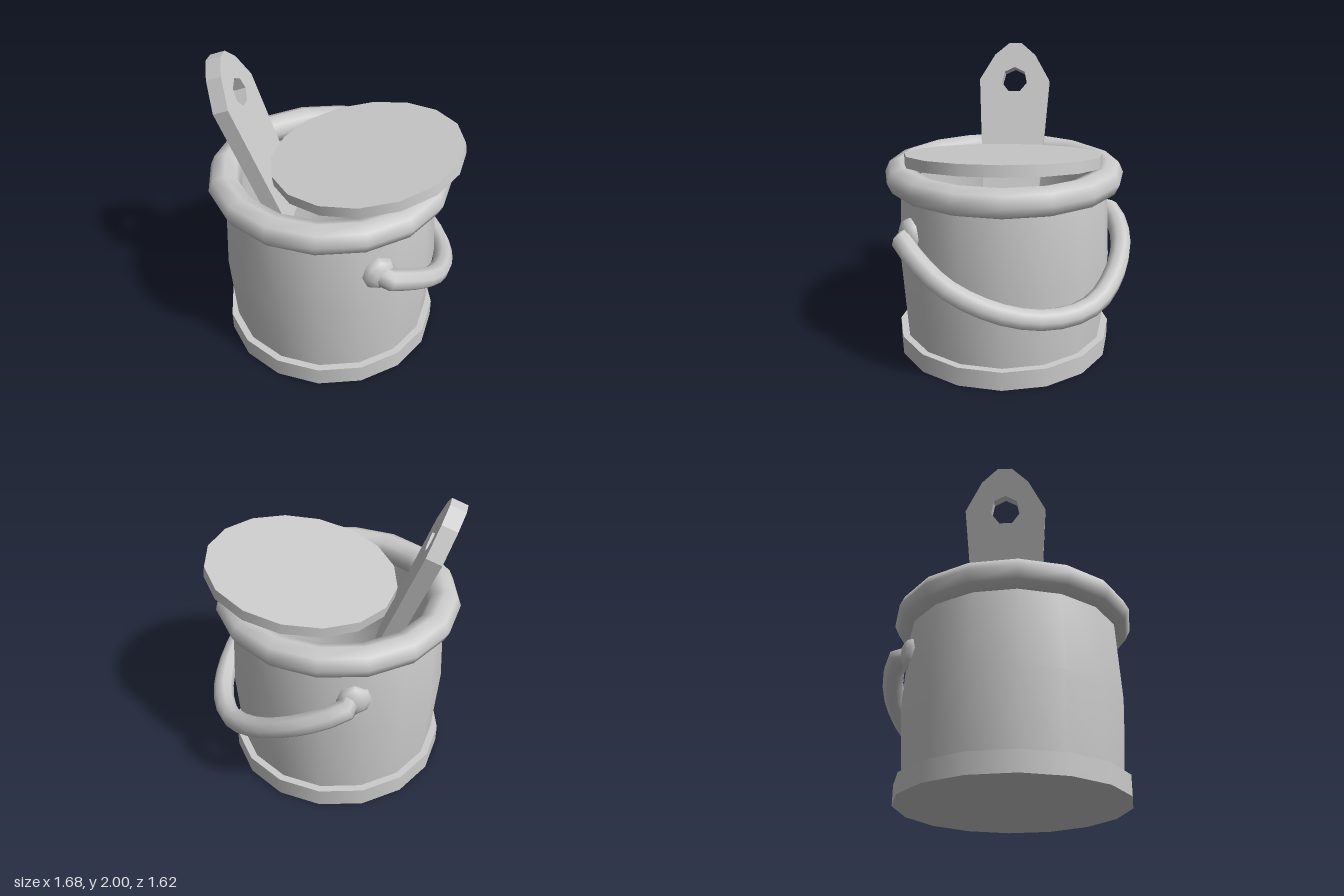
import * as THREE from 'three';

const SIDES = 16;
const TURN = -0.546; // yaw shared by the bucket and its lid

export function createModel() {
  const model = new THREE.Group();
  model.name = 'bucket';
  const material = new THREE.MeshStandardMaterial({ color: 0xcccccc });
  const wallMaterial = new THREE.MeshStandardMaterial({ color: 0xcccccc, side: THREE.DoubleSide });

  function add(parent, name, geometry, mat = material) {
    const mesh = new THREE.Mesh(geometry, mat);
    mesh.name = name;
    parent.add(mesh);
    return mesh;
  }

  // Bucket shell: base, bulging wall with thickness, and rolled rim
  const shell = new THREE.Group();
  shell.name = 'shell';
  shell.position.set(-0.05, 0, -0.025);
  shell.rotation.y = TURN;
  model.add(shell);

  add(shell, 'base', new THREE.CylinderGeometry(0.738, 0.738, 0.13, SIDES)).position.y = 0.065;

  const wall = [
    [0.69, 0.12], [0.722, 0.63], [0.69, 1.2],
    [0.65, 1.2], [0.69, 0.63], [0.65, 0.12],
  ].map(([r, y]) => new THREE.Vector2(r, y));
  add(shell, 'wall', new THREE.LatheGeometry(wall, SIDES), wallMaterial);

  const rim = new THREE.TorusGeometry(0.69, 0.107, 8, SIDES);
  rim.rotateX(Math.PI / 2);
  rim.scale(1, 0.9, 1);
  add(shell, 'rim', rim).position.y = 1.227;

  // Tilted lid resting on the rim
  const lid = add(model, 'lid', new THREE.CylinderGeometry(0.628, 0.628, 0.07, SIDES));
  lid.position.set(0.155, 1.378, 0.1);
  lid.rotation.set(0, TURN, 0.15);

  // Swinging handle, sagging to the side between two pivots
  const path = new THREE.CatmullRomCurve3([
    [-0.06, 0.905, 0.66], [-0.04, 0.9, 0.73], [0.05, 0.87, 0.745],
    [0.38, 0.69, 0.635], [0.62, 0.56, 0.39], [0.745, 0.51, 0.12],
    [0.765, 0.53, -0.16], [0.67, 0.62, -0.4], [0.47, 0.77, -0.63],
    [0.25, 0.88, -0.735], [0.15, 0.92, -0.735], [0.12, 0.93, -0.66],
  ].map((p) => new THREE.Vector3(...p)));
  add(model, 'handle', new THREE.TubeGeometry(path, 22, 0.069, 8));

  // Handle pivots
  for (const [name, x, y, z, yaw] of [
    ['frontPivot', -0.045, 0.905, 0.665, 0],
    ['backPivot', 0.11, 0.92, -0.685, -0.2],
  ]) {
    const pivot = new THREE.SphereGeometry(0.115, 8, 6);
    pivot.rotateX(Math.PI / 2);
    pivot.scale(1, 1, 0.65);
    const mesh = add(model, name, pivot);
    mesh.position.set(x, y, z);
    mesh.rotation.y = yaw;
  }

  // Leaning paddle grip with a pointed top and a hanging hole
  const outline = new THREE.Shape();
  const half = [[0.19, -0.95], [0.25, 0], [0.145, 0.18], [0.045, 0.265]];
  const mirrored = half.map(([u, v]) => [-u, v]).reverse();
  outline.setFromPoints([...half, ...mirrored].map(([u, v]) => new THREE.Vector2(u, v)));
  const hole = [];
  for (let i = 0; i < 7; i++) {
    const a = (-i / 7) * Math.PI * 2 + Math.PI / 2;
    hole.push(new THREE.Vector2(0.092 * Math.cos(a), 0.092 * Math.sin(a)));
  }
  outline.holes.push(new THREE.Path(hole));
  const grip = new THREE.ExtrudeGeometry(outline, { depth: 0.105, bevelEnabled: false });
  grip.translate(0, 0, -0.105);
  const paddle = add(model, 'paddleGrip', grip);
  paddle.rotation.set(-0.35, 0.942, 0, 'YXZ');
  paddle.position.set(-0.505, 1.748, -0.378);

  return model;
}
